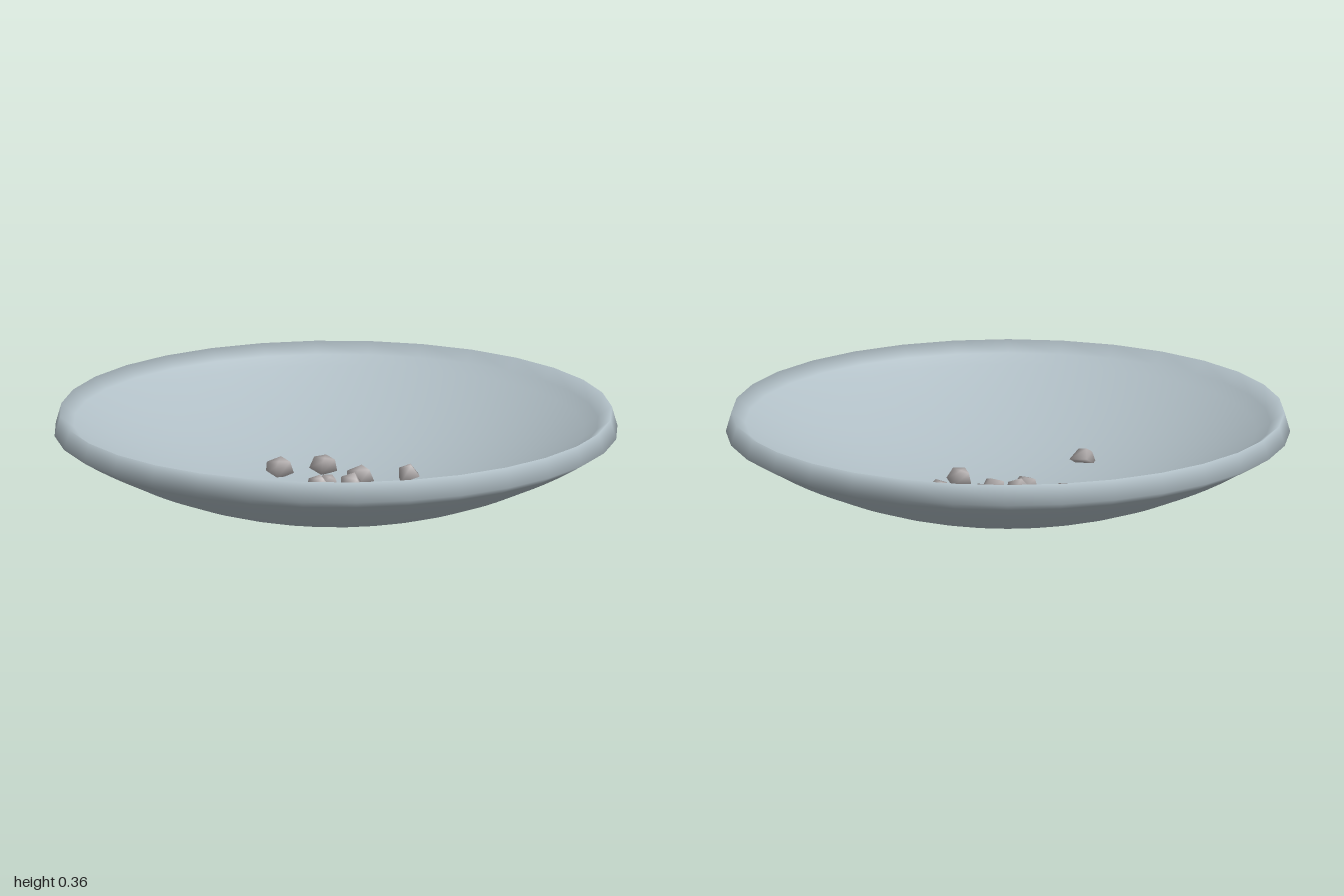
import * as THREE from 'three';
import { mergeVertices } from 'three/addons/utils/BufferGeometryUtils.js';

const R = 1.87; // radius of the sphere the dish is cut from
const arc = (r) => R - Math.sqrt(R * R - r * r);
const floorY = (r) => 0.07 + arc(r) * 1.02;

// Thick spherical cap: underside outwards, bevelled lip, then inside back to the axis
function dishGeometry() {
  const points = [];
  const rings = 20;
  for (let i = 0; i <= rings; i++) {
    const r = i / rings;
    points.push(new THREE.Vector2(r, arc(r)));
  }
  for (let i = rings; i >= 0; i--) {
    const r = (0.98 * i) / rings;
    points.push(new THREE.Vector2(r, i === rings ? 0.36 : floorY(r)));
  }
  return new THREE.LatheGeometry(points, 32);
}

// Small blunt four-sided stone with softened shading
function stoneGeometry(taper) {
  const raw = new THREE.CylinderGeometry(0.05 * taper, 0.051, 0.045, 4, 1, false, Math.PI / 4);
  raw.deleteAttribute('uv');
  raw.deleteAttribute('normal');
  const geometry = mergeVertices(raw, 1e-4);
  geometry.computeVertexNormals();
  return geometry;
}

export function createModel() {
  const model = new THREE.Group();
  const dishGrey = new THREE.MeshStandardMaterial({ color: 0xb0bec5 });
  dishGrey.name = 'blue grey';
  const stoneGrey = new THREE.MeshStandardMaterial({ color: 0xb3aeae });
  stoneGrey.name = 'stone grey';

  const dish = new THREE.Mesh(dishGeometry(), dishGrey);
  dish.name = 'dish';
  model.add(dish);

  // Scattered stones: x, z, turn, tilt x, tilt z, top taper
  const stones = [
    [-0.22, -0.14, 0.7, 0.15, 0.1, 0.85],
    [-0.07, -0.22, 0.75, 0.2, -0.15, 0.75],
    [0.07, -0.11, 0.6, 0.1, 0.2, 0.85],
    [0.24, -0.12, 0.2, -0.1, 0.35, 0.6],
    [0.05, -0.02, 0.3, 0.3, 0.2, 0.7],
    [-0.03, -0.02, 0.5, 0.4, -0.3, 0.5],
    [-0.065, 0.01, 0.45, 0.1, 0.2, 0.6],
    [0.17, 0.08, 0.3, -0.2, 0.15, 0.65],
    [-0.27, 0.25, 1.0, 0.25, 0.3, 0.5],
  ];
  const group = new THREE.Group();
  group.name = 'stones';
  for (const [x, z, turn, tiltX, tiltZ, taper] of stones) {
    const stone = new THREE.Mesh(stoneGeometry(taper), stoneGrey);
    stone.name = 'stone';
    stone.position.set(x, floorY(Math.hypot(x, z)) + 0.023, z);
    stone.rotation.set(tiltX, turn, tiltZ);
    group.add(stone);
  }
  model.add(group);
  return model;
}
